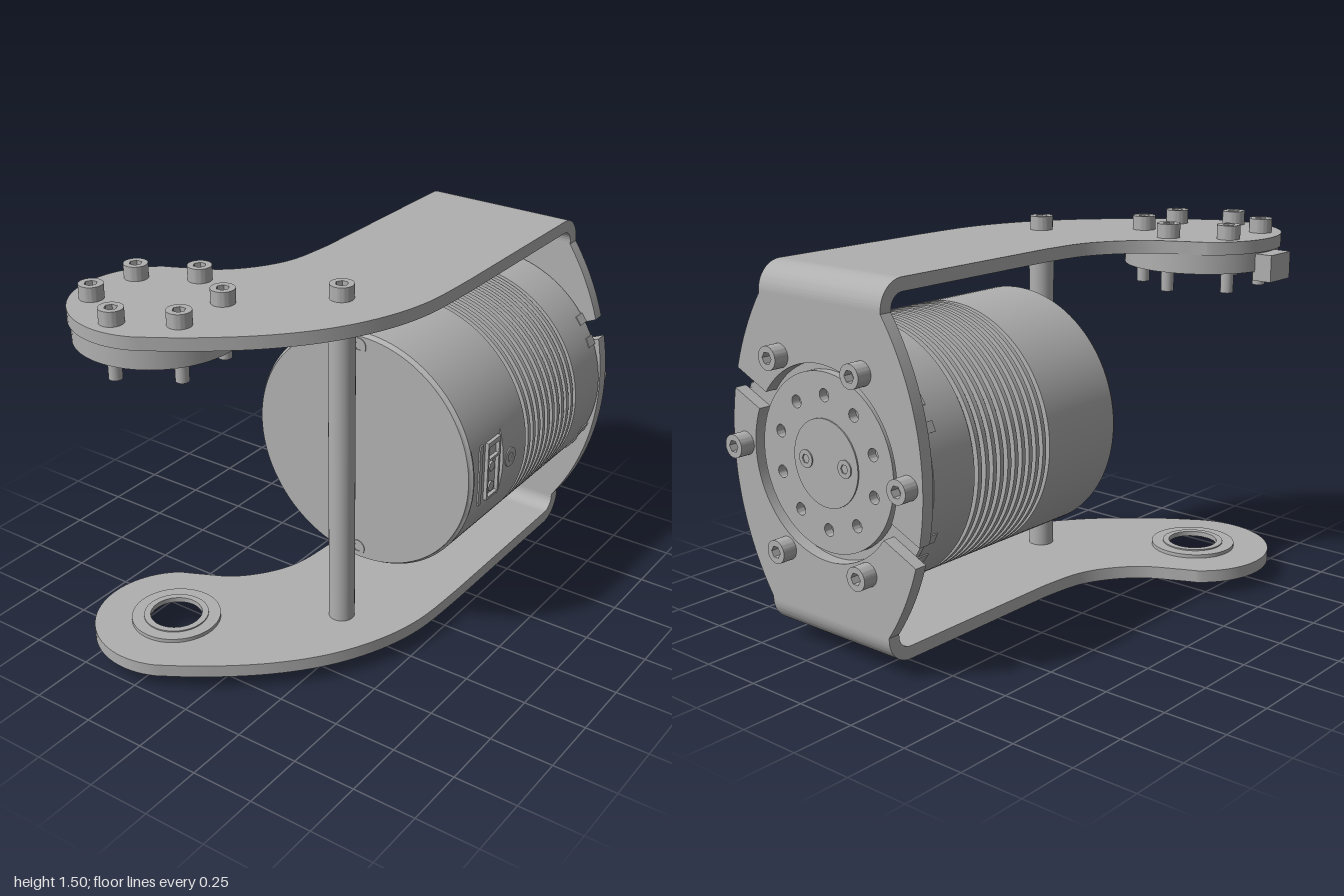
import * as THREE from 'three';
import { toCreasedNormals } from 'three/addons/utils/BufferGeometryUtils.js';

const CX = 0.1825, CY = 0.7525;      // motor axis
const PX = -0.305, PZ = 0.685;       // pivot centre at the end of the arms
const V = (x, y) => new THREE.Vector2(x, y);

export function createModel() {
  const root = new THREE.Group();
  const metal = new THREE.MeshStandardMaterial({ color: 0xb0b0b0 });
  metal.name = 'grey metal';

  const add = (name, geo, x = 0, y = 0, z = 0, parent = root) => {
    const m = new THREE.Mesh(geo, metal);
    m.name = name;
    m.position.set(x, y, z);
    parent.add(m);
    return m;
  };
  const extrude = (shape, depth) => toCreasedNormals(
    new THREE.ExtrudeGeometry(shape, { depth, bevelEnabled: false, curveSegments: 32 }), 0.5);
  const cyl = (r, h, n = 32) => new THREE.CylinderGeometry(r, r, h, n);
  const disc = (r, x = 0, y = 0) => new THREE.Shape().absarc(x, y, r, 0, Math.PI * 2);
  const hole = (r, x = 0, y = 0) => new THREE.Path().absarc(x, y, r, 0, Math.PI * 2, true);
  const lay = g => g.rotateX(-Math.PI / 2);

  // Socket head: ring with a hexagonal recess, standing on y = 0
  const headShape = disc(0.045);
  headShape.holes.push(new THREE.Path([0, 1, 2, 3, 4, 5].map(i =>
    V(0.024 * Math.cos(-i * Math.PI / 3), 0.024 * Math.sin(-i * Math.PI / 3)))));
  const headGeo = lay(extrude(headShape, 0.055));
  const floorGeo = cyl(0.04, 0.02);
  const bolt = (name, x, y, z, rx = 0, scale = 1) => {
    const g = new THREE.Group();
    g.name = name;
    g.position.set(x, y, z);
    g.rotation.x = rx;
    g.scale.setScalar(scale);
    add('boltHead', headGeo, 0, 0, 0, g);
    add('boltSocketFloor', floorGeo, 0, 0.012, 0, g);
    root.add(g);
    return g;
  };

  // Curved arms, outlined in x and z
  const outer = new THREE.SplineCurve([V(0.49, -0.1), V(0.478, 0.15), V(0.425, 0.35), V(0.325, 0.54),
    V(0.18, 0.71), V(0, 0.86), V(-0.15, 0.958)]).getPoints(36);
  const inner = new THREE.SplineCurve([V(-0.5, 0.437), V(-0.42, 0.4), V(-0.3, 0.335), V(-0.205, 0.23),
    V(-0.145, 0.1), V(-0.125, -0.08)]).getPoints(30);
  const tip = [];
  for (let i = 1; i < 40; i++) {
    const a = 1.054 + (4.046 - 1.054) * i / 40;
    tip.push(V(PX + 0.315 * Math.cos(a), PZ + 0.315 * Math.sin(a)));
  }
  const outline = [V(-0.125, -0.835), V(0.49, -0.835), ...outer, ...tip, ...inner].map(p => V(p.x, -p.y));
  add('topArm', lay(extrude(new THREE.Shape(outline), 0.05)), 0, 1.395, 0);
  const lower = new THREE.Shape(outline);
  lower.holes.push(hole(0.1, PX, -PZ));
  add('bottomArm', lay(extrude(lower, 0.05)), 0, 0.06, 0);

  // Bearing ring on the bottom arm
  const ring = disc(0.172);
  ring.holes.push(hole(0.1));
  add('bearingRing', lay(extrude(ring, 0.015)), PX, 0.11, PZ);
  const lip = disc(0.125);
  lip.holes.push(hole(0.1));
  add('bearingLip', lay(extrude(lip, 0.02)), PX, 0.11, PZ);

  // Bends and two-piece back plate; the lower half is the upper turned by 180 degrees
  const bend = new THREE.Shape();
  bend.absarc(0, 0, 0.105, 0, Math.PI / 2, false);
  bend.absarc(0, 0, 0.055, Math.PI / 2, 0, true);
  const bendGeo = extrude(bend, 0.615).translate(0, 0, -0.3075).rotateY(Math.PI / 2);

  const R = 1.024, edge = y => -0.537 + Math.sqrt(R * R - y * y);
  const half = [];
  for (let i = 0; i <= 16; i++) { const y = 0.285 + (0.58 - 0.285) * i / 16; half.push(V(edge(y), y)); }
  half.push(V(0.3075, 0.5875), V(-0.3075, 0.5875));
  for (let i = 0; i <= 30; i++) { const y = 0.58 - 0.785 * i / 30; half.push(V(-edge(y), y)); }
  for (let i = 0; i <= 40; i++) {
    const a = 7 * Math.PI / 6 - 0.11 - (Math.PI - 0.22) * i / 40;
    half.push(V(0.365 * Math.cos(a), 0.365 * Math.sin(a)));
  }
  const halfGeo = extrude(new THREE.Shape(half), 0.05);
  for (const [side, turn] of [['upper', 0], ['lower', Math.PI]]) {
    const g = new THREE.Group();
    g.name = side + 'BackPlate';
    g.position.set(CX, CY, 0);
    g.rotation.z = turn;
    add('plate', halfGeo, 0, 0, -0.94, g);
    add('bend', bendGeo, 0, 0.5875, -0.835, g);
    root.add(g);
  }

  // Motor body: lathe around z with cooling grooves and a flat for the connector
  const pts = [V(0, -0.89), V(0.478, -0.89), V(0.485, -0.883), V(0.485, -0.69)];
  for (let i = 0; i < 11; i++) {
    const z = -0.67 + i * 0.039;
    pts.push(V(0.485, z - 0.01), V(0.467, z - 0.009), V(0.467, z + 0.009), V(0.485, z + 0.01));
  }
  pts.push(V(0.485, -0.097), V(0.485, -0.095), V(0.485, 0.11), V(0.485, 0.112),
    V(0.485, 0.118), V(0.475, 0.125), V(0.478, 0.127), V(0.474, 0.135), V(0, 0.135));
  const body = new THREE.LatheGeometry(pts, 128).rotateX(Math.PI / 2);
  const pos = body.attributes.position;
  for (let i = 0; i < pos.count; i++) {
    const z = pos.getZ(i);
    if (z > -0.096 && z < 0.111 && Math.abs(pos.getY(i)) < 0.14) pos.setX(i, Math.min(pos.getX(i), 0.464));
  }
  add('motorBody', toCreasedNormals(body, 0.5), CX, CY, 0);

  // Output flange with a ring of holes, hub and two screws
  const flange = disc(0.335);
  for (let i = 0; i < 10; i++) {
    const a = (i + 0.5) * Math.PI / 5;
    flange.holes.push(hole(0.024, 0.25 * Math.cos(a), 0.25 * Math.sin(a)));
  }
  add('outputFlange', extrude(flange, 0.036), CX, CY, -0.925);
  add('outputHub', cyl(0.165, 0.01, 48).rotateX(Math.PI / 2), CX, CY, -0.925);
  for (const s of [-1, 1]) bolt('hubScrew', CX + s * 0.1, CY, -0.918, -Math.PI / 2, 0.75).scale.y = 0.3;

  // Plate bolts and small clips at the rear rim
  for (let i = 0; i < 6; i++) {
    const a = i * Math.PI / 3;
    bolt('plateBolt', CX + 0.42 * Math.cos(a), CY + 0.42 * Math.sin(a), -0.94, -Math.PI / 2, 1).scale.y = 1.09;
  }
  for (const sx of [-1, 1]) for (const sy of [-1, 1]) for (const d of [-0.1, 0.1]) {
    const a = Math.PI / 6 + d;
    const clip = add('rearClip', new THREE.BoxGeometry(0.02, 0.04, 0.05),
      CX + sx * 0.479 * Math.cos(a), CY + sy * 0.479 * Math.sin(a), -0.862);
    clip.rotation.z = sx * sy * a;
  }

  // Front face screws and pin
  for (const s of [-1, 1]) bolt('faceScrew', 0.17, CY + s * 0.435, 0.13, Math.PI / 2, 0.72).scale.y = 0.15;
  add('facePin', cyl(0.018, 0.006, 24).rotateX(Math.PI / 2), 0.115, 0.485, 0.135);

  // Connector panel on the left side
  const panelX = CX + 0.464;
  const frame = new THREE.Shape([V(-0.045, -0.12), V(0.045, -0.12), V(0.045, 0.12), V(-0.045, 0.12)]);
  frame.holes.push(new THREE.Path([V(-0.035, 0.05), V(0.035, 0.05), V(0.035, 0.1), V(-0.035, 0.1)].reverse()),
    new THREE.Path([V(-0.035, -0.11), V(0.035, -0.11), V(0.035, 0.04), V(-0.035, 0.04)].reverse()));
  add('connectorFrame', extrude(frame, 0.014).rotateY(Math.PI / 2), panelX, CY, -0.04);
  add('connectorStrip', new THREE.BoxGeometry(0.012, 0.25, 0.02), panelX, CY, 0.04);
  for (const y of [-0.08, 0.005])
    add('connectorPin', cyl(0.02, 0.016, 16).rotateZ(Math.PI / 2), panelX, CY + y, -0.04);
  const sideScrew = bolt('sideScrew', CX + 0.48, CY, -0.15, 0, 0.85);
  sideScrew.rotation.z = -Math.PI / 2;
  sideScrew.scale.y = 0.15;

  // Spacer post between the arms, bolted at both ends
  add('spacerPost', cyl(0.05, 1.285), 0.21, CY, 0.3);
  bolt('postTopBolt', 0.21, 1.445, 0.3);
  bolt('postBottomBolt', 0.21, 0.06, 0.3, Math.PI).scale.y = 1.09;

  // Pivot disc under the top arm with its bolts and side tab
  add('pivotDisc', cyl(0.305, 0.075, 72), PX, 1.3575, PZ);
  add('pivotTab', new THREE.BoxGeometry(0.08, 0.105, 0.14), -0.633, 1.3375, PZ);
  for (let i = 0; i < 6; i++) {
    const a = Math.PI / 6 + i * Math.PI / 3;
    const x = PX + 0.232 * Math.cos(a), z = PZ + 0.232 * Math.sin(a);
    bolt('pivotBolt', x, 1.445, z);
    add('pivotBoltShank', cyl(0.025, 0.1, 20), x, 1.285, z);
  }
  return root;
}
